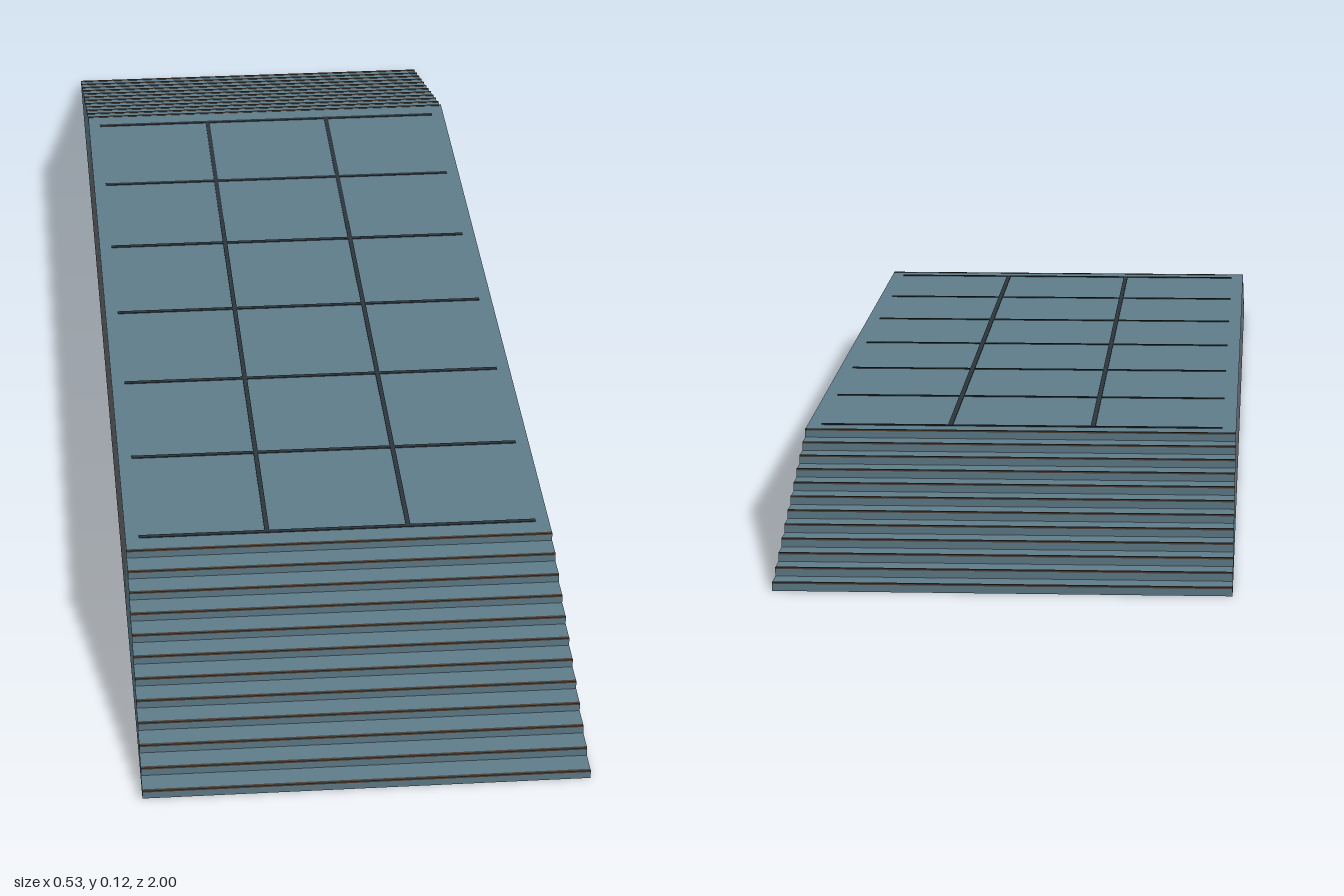
import * as THREE from 'three';

const WIDTH = 0.534, HEIGHT = 0.12, HALF_DECK = 0.6, STEPS = 12;
const RISE = HEIGHT / STEPS, TREAD = (1 - HALF_DECK) / STEPS;

const material = (color) => new THREE.MeshStandardMaterial({ color });
const deckBlue = material(0x607d8b);
const coreGrey = material(0x68686c);
const seamDark = material(0x2b353b);
const nosingBrown = material(0x4a3f35);

function box(parent, name, mat, size, position) {
  const mesh = new THREE.Mesh(new THREE.BoxGeometry(...size), mat);
  mesh.name = name;
  mesh.position.set(...position);
  parent.add(mesh);
  return mesh;
}

// A flight of shallow steps descending towards +z
function createStairs(name) {
  const stairs = new THREE.Group();
  stairs.name = name;

  // Side profile drawn as (z, y), then extruded across the width
  const profile = new THREE.Shape();
  profile.moveTo(HALF_DECK, 0);
  profile.lineTo(1, 0);
  for (let i = 0; i < STEPS; i++) {
    profile.lineTo(1 - i * TREAD, (i + 1) * RISE);
    profile.lineTo(1 - (i + 1) * TREAD, (i + 1) * RISE);
  }
  const geometry = new THREE.ExtrudeGeometry(profile, { depth: WIDTH, bevelEnabled: false });
  geometry.rotateY(-Math.PI / 2);
  geometry.translate(WIDTH / 2, 0, 0);
  const flight = new THREE.Mesh(geometry, deckBlue);
  flight.name = 'steps';
  stairs.add(flight);

  // Thin edge strip along the front of every tread
  for (let i = 0; i < STEPS; i++) {
    box(stairs, 'stepNosing', nosingBrown, [WIDTH, 0.002, 0.004],
      [0, (i + 1) * RISE - 0.0005, 1 - i * TREAD - 0.0018]);
  }
  return stairs;
}

export function createModel() {
  const model = new THREE.Group();
  model.name = 'steppedPlatform';

  // Core block and the deck slab that covers it
  const slab = 0.01;
  box(model, 'core', coreGrey, [WIDTH, HEIGHT - slab, 2 * HALF_DECK], [0, (HEIGHT - slab) / 2, 0]);
  box(model, 'deck', deckBlue, [WIDTH, slab, 2 * HALF_DECK], [0, HEIGHT - slab / 2, 0]);

  // Paving seams on the deck
  for (let i = -3; i <= 3; i++) {
    box(model, 'crossSeam', seamDark, [0.5, 0.002, 0.006], [0, HEIGHT, i * 0.2]);
  }
  for (const x of [-0.089, 0.089]) {
    box(model, 'longSeam', seamDark, [0.006, 0.002, 2 * HALF_DECK], [x, HEIGHT, 0]);
  }

  // Matching stairs at both ends
  const backStairs = createStairs('backStairs');
  backStairs.rotation.y = Math.PI;
  model.add(createStairs('frontStairs'), backStairs);
  return model;
}
